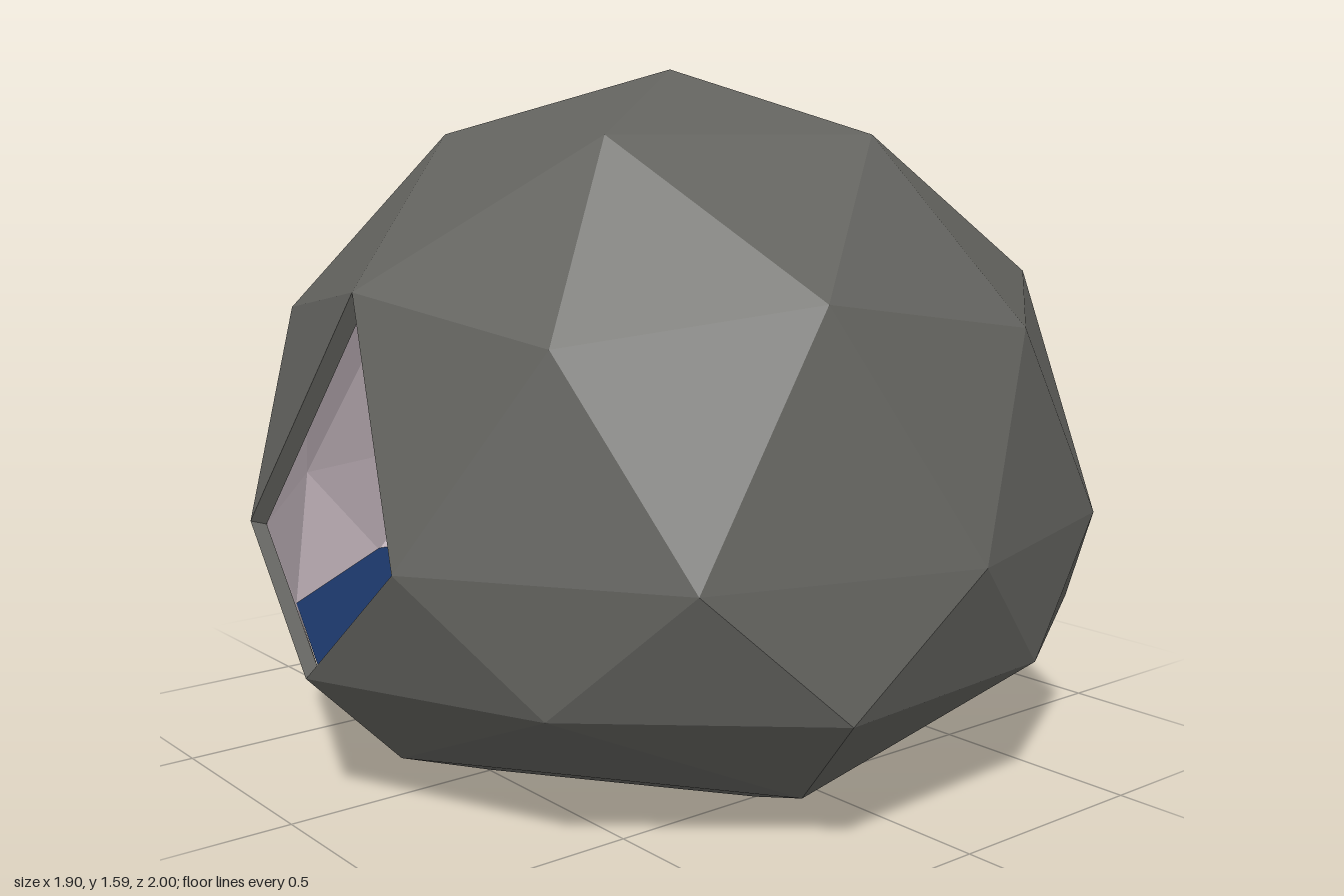
import * as THREE from 'three';

const CX = 0.03, FLOOR = 0.31;

// Point on a horizontal ring around the dome axis
const ring = (deg, r, y) => {
  const a = deg * Math.PI / 180;
  return new THREE.Vector3(CX + r * Math.cos(a), y, r * Math.sin(a));
};

// Flat-shaded mesh from convex polygons, each turned away from (or towards) the dome centre
function facets(name, polys, color, { inward = false, double = false } = {}) {
  const centre = new THREE.Vector3(CX, 0.6, 0), pos = [];
  for (const p of polys) {
    for (let i = 1; i < p.length - 1; i++) {
      const [a, b, c] = [p[0], p[i], p[i + 1]];
      const n = b.clone().sub(a).cross(c.clone().sub(a));
      const out = n.dot(a.clone().sub(centre)) > 0;
      for (const v of out !== inward ? [a, b, c] : [a, c, b]) pos.push(v.x, v.y, v.z);
    }
  }
  const g = new THREE.BufferGeometry();
  g.setAttribute('position', new THREE.Float32BufferAttribute(pos, 3));
  g.computeVertexNormals();
  const mesh = new THREE.Mesh(g, new THREE.MeshStandardMaterial({
    color, flatShading: true, side: double ? THREE.DoubleSide : THREE.FrontSide }));
  mesh.name = name;
  return mesh;
}

function part(parent, name, geometry, color, x, y, z) {
  const mesh = new THREE.Mesh(geometry, new THREE.MeshStandardMaterial({ color }));
  mesh.name = name;
  mesh.position.set(x, y, z);
  parent.add(mesh);
}

export function createModel() {
  const model = new THREE.Group();
  model.name = 'geodesicDome';
  const GREY = 0x62625e, PINK = 0xd2c3cb, BLUE = 0x1a3566;

  // Geodesic rings from the apex down to the foot
  const apex = new THREE.Vector3(CX, 1.59, 0);
  const a = k => ring(72 * k, 0.526, 1.44);
  const b = k => ring(72 * k, 0.894, 1.037);
  const c = k => ring(72 * k + 36, 0.851, 1.116);
  const d = (k, side) => {
    const p = ring(72 * k + 18 * side, 1, 0.59);
    if (k === 0) p.x = 0.95; // flattened for the doorway
    return p;
  };
  const e = k => ring(72 * k + 36, 0.985, FLOOR);
  const f = k => ring(72 * k, 0.94, FLOOR + 0.005);
  const g = k => ring(72 * k + 36, 0.76, 0.083);
  const h = k => ring(72 * k + 36, 0.526, 0);
  const door = (z, y) => new THREE.Vector3(0.95, y, z);

  // Dome panels, leaving out the window rhombus (k = 2) and the doorway (k = 0)
  const dome = [], base = [], floorRing = [];
  for (let k = 0; k < 5; k++) {
    const l = d(k, -1), r = d(k, 1), next = d((k + 1) % 5, -1);
    dome.push([apex, a(k), a(k + 1)], [a(k), a(k + 1), c(k)],
      [a(k), c(k), b(k)], [a(k), b(k), c(k - 1)],
      [b(k), c(k), r], [b(k), r, l], [b(k), l, c(k - 1)]);
    if (k !== 2) dome.push([c(k), r, next], [r, next, e(k)]);

    // Foot of each sector: one middle point, or the two door corners
    const feet = k === 0 ? [door(-0.31, FLOOR), door(0.31, FLOOR)] : [f(k), f(k)];
    dome.push([l, feet[0], e(k - 1)], [r, e(k), feet[1]]);
    if (k !== 0) dome.push([l, r, feet[0]]);
    base.push([e(k - 1), feet[0], g(k - 1)], [feet[1], e(k), g(k)],
      [feet[0], g(k - 1), g(k)], [g(k - 1), g(k), h(k), h(k - 1)]);
    if (k === 0) base.push([feet[0], feet[1], g(0)]);
    floorRing.push(feet[0], feet[1], e(k));
  }
  // Wall strips either side of the doorway
  for (const s of [-1, 1]) {
    dome.push([door(0.31 * s, 0.59), door(0.31 * s, FLOOR), door(0.15 * s, FLOOR), door(0.15 * s, 0.59)]);
  }
  base.push([0, 1, 2, 3, 4].map(h));

  // Inner lining is the dome drawn in towards the floor centre
  const inner = p => new THREE.Vector3(
    CX + (p.x - CX) * 0.965, FLOOR + (p.y - FLOOR) * 0.965, p.z * 0.965);
  model.add(facets('domeShell', dome, GREY));
  model.add(facets('baseShell', base, GREY));
  model.add(facets('innerLining', dome.map(p => p.map(inner)), PINK, { inward: true }));
  model.add(facets('floor', [floorRing.map(inner).map(p => p.setY(FLOOR + 0.005))], BLUE, { double: true }));

  // Frames joining shell and lining around the openings
  const frame = (name, loop) => model.add(facets(name, loop.map((p, i) => {
    const q = loop[(i + 1) % loop.length];
    return [p, q, inner(q), inner(p)];
  }), GREY, { double: true }));
  frame('windowFrame', [c(2), d(2, 1), e(2), d(3, -1)]);
  frame('doorFrame', [door(-0.15, FLOOR), door(0.15, FLOOR), door(0.15, 0.59), door(-0.15, 0.59)]);

  // Small table with a chair on each side
  const table = new THREE.Group();
  table.name = 'table';
  part(table, 'tableTop', new THREE.CylinderGeometry(0.06, 0.06, 0.01, 16), 0x77777a, -0.3, 0.38, 0);
  part(table, 'tablePost', new THREE.CylinderGeometry(0.01, 0.02, 0.065, 8), 0x222222, -0.3, 0.345, 0);
  model.add(table);
  for (const s of [-1, 1]) {
    const chair = new THREE.Group();
    chair.name = s > 0 ? 'frontChair' : 'backChair';
    part(chair, 'seat', new THREE.BoxGeometry(0.05, 0.01, 0.05), BLUE, -0.3, 0.365, 0.1 * s);
    part(chair, 'backrest', new THREE.BoxGeometry(0.05, 0.04, 0.01), BLUE, -0.3, 0.41, 0.12 * s);
    part(chair, 'post', new THREE.CylinderGeometry(0.006, 0.006, 0.05, 8), 0x222222, -0.3, 0.34, 0.1 * s);
    part(chair, 'foot', new THREE.CylinderGeometry(0.022, 0.022, 0.006, 12), 0x222222, -0.3, 0.318, 0.1 * s);
    model.add(chair);
  }
  return model;
}
